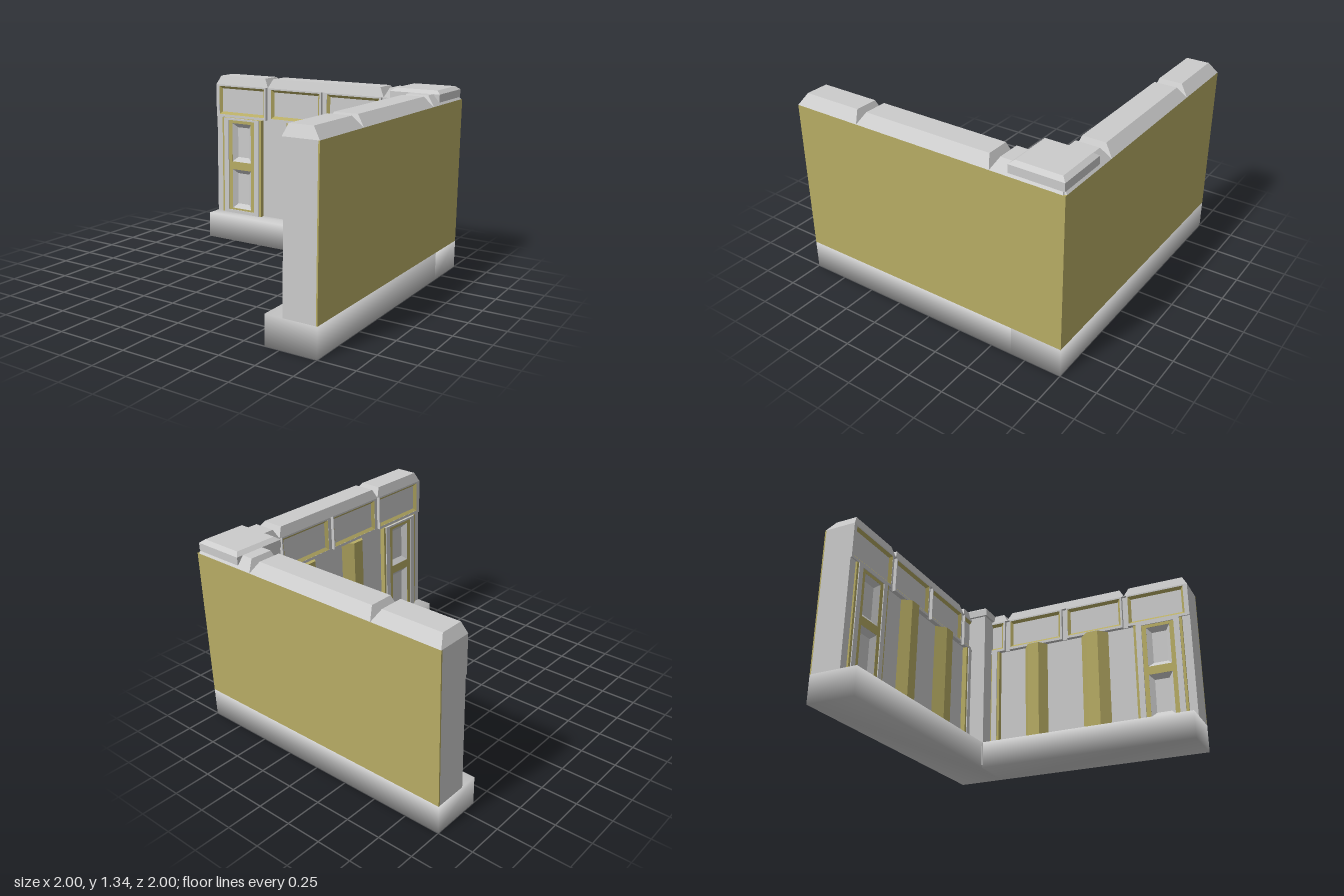
import * as THREE from 'three';
import { mergeVertices } from 'three/addons/utils/BufferGeometryUtils.js';

const grey = new THREE.MeshStandardMaterial({ color: 0xcccccc, side: THREE.DoubleSide });
const ochre = new THREE.MeshStandardMaterial({ color: 0xb7ac64, side: THREE.DoubleSide });

function add(parent, name, geometry, material = grey) {
  const mesh = new THREE.Mesh(geometry, material);
  mesh.name = name;
  parent.add(mesh);
  return mesh;
}

// Box given by its limits
function block(x0, x1, y0, y1, z0, z1) {
  return new THREE.BoxGeometry(x1 - x0, y1 - y0, z1 - z0)
    .translate((x0 + x1) / 2, (y0 + y1) / 2, (z0 + z1) / 2);
}

// Box whose top face is drawn in on each side
function taperedBlock(x0, x1, y0, y1, z0, z1, side, back, front) {
  const g = block(x0, x1, y0, y1, z0, z1).toNonIndexed();
  const p = g.attributes.position;
  for (let i = 0; i < p.count; i++) {
    if (p.getY(i) < y1 - 1e-5) continue;
    p.setX(i, p.getX(i) + (p.getX(i) < (x0 + x1) / 2 ? side : -side));
    p.setZ(i, p.getZ(i) + (p.getZ(i) < (z0 + z1) / 2 ? back : -front));
  }
  g.computeVertexNormals();
  return g;
}

// Box with normals shared round its corners, for a soft shading
function softBlock(...limits) {
  const g = block(...limits);
  g.deleteAttribute('normal');
  g.deleteAttribute('uv');
  const soft = mergeVertices(g);
  soft.computeVertexNormals();
  return soft;
}

const corners = ([x0, x1, y0, y1]) => [[x0, y0], [x1, y0], [x1, y1], [x0, y1]];
const inset = ([x0, x1, y0, y1], d) => [x0 + d, x1 - d, y0 + d, y1 - d];

// Upright plate with rectangular openings
function plate(rect, holes, z0, z1) {
  const vec = (r) => corners(r).map(([x, y]) => new THREE.Vector2(x, y));
  const shape = new THREE.Shape(vec(rect));
  for (const h of holes) shape.holes.push(new THREE.Path(vec(h).reverse()));
  return new THREE.ExtrudeGeometry(shape, { depth: z1 - z0, bevelEnabled: false }).translate(0, 0, z0);
}

// Sunk panel: four sloping sides and a floor
function sunkPanel(parent, name, rect, z, depth, slope, sideMaterial) {
  const floor = inset(rect, slope);
  const outer = corners(rect).map(([x, y]) => [x, y, z]);
  const inner = corners(floor).map(([x, y]) => [x, y, z - depth]);
  const pos = [];
  for (let i = 0; i < 4; i++) {
    const j = (i + 1) % 4;
    pos.push(...outer[i], ...outer[j], ...inner[j], ...outer[i], ...inner[j], ...inner[i]);
  }
  const g = new THREE.BufferGeometry();
  g.setAttribute('position', new THREE.Float32BufferAttribute(pos, 3));
  g.computeVertexNormals();
  add(parent, name + 'Sides', g, sideMaterial);
  add(parent, name + 'Floor', block(...floor, z - depth - 0.002, z - depth));
}

// Door: stepped frame with two sunk panels
function door(cx) {
  const group = new THREE.Group();
  group.name = 'door';
  const rect = [cx - 0.188, cx + 0.188, 0.2, 0.985];
  const panels = [[cx - 0.09, cx + 0.09, 0.24, 0.565], [cx - 0.09, cx + 0.09, 0.63, 0.945]];
  add(group, 'doorLeaf', plate(rect, panels, -0.8, -0.757), ochre);
  add(group, 'doorFrame', plate([cx - 0.168, cx + 0.168, 0.2, 0.985],
    [[cx - 0.125, cx + 0.125, 0.225, 0.97]], -0.765, -0.75));
  for (const p of panels) sunkPanel(group, 'doorPanel', p, -0.758, 0.03, 0.035, grey);
  return group;
}

// Pilaster with splayed sides
function pilaster(x0, x1) {
  const cx = (x0 + x1) / 2;
  const shape = new THREE.Shape([
    new THREE.Vector2(x0, 0.795), new THREE.Vector2(x1, 0.795),
    new THREE.Vector2(cx + 0.045, 0.728), new THREE.Vector2(cx - 0.045, 0.728),
  ]);
  return new THREE.ExtrudeGeometry(shape, { depth: 0.79, bevelEnabled: false })
    .rotateX(-Math.PI / 2).translate(0, 0.2, 0);
}

// One straight wall along x, its back at z = -1
function wall(name, lo, hi, baseStart) {
  const group = new THREE.Group();
  group.name = name;
  add(group, 'base', softBlock(baseStart, 1, 0, 0.2, -1, -0.645));
  add(group, 'core', block(lo, hi, 0.2, 1.25, -0.99, -0.795));
  add(group, 'backPanel', block(-1, 1, 0.2, 1.25, -1, -0.99), ochre);

  // End posts and doors
  add(group, 'endPost', block(lo, -0.94, 0.2, 1, -0.8, -0.77));
  add(group, 'endPost', block(0.94, hi, 0.2, 1, -0.8, -0.77));
  for (const s of [-1, 1]) group.add(door(s * 0.752));
  add(group, 'pilaster', pilaster(-0.35, -0.16), ochre);
  add(group, 'pilaster', pilaster(0.13, 0.35), ochre);

  // Header blocks with sunk panels
  for (let i = 0; i < 4; i++) {
    const x0 = i === 0 ? lo : -0.98 + i * 0.5;
    const x1 = i === 3 ? hi : -0.52 + i * 0.5;
    const opening = [-0.97 + i * 0.5, -0.535 + i * 0.5, 1.01, 1.238];
    add(group, 'headerBlock', plate([x0, x1, 0.99, 1.25], [opening], -0.8, -0.76));
    sunkPanel(group, 'headerPanel', opening, -0.761, 0.018, 0.02, ochre);
  }
  add(group, 'headerBack', block(lo, hi, 0.99, 1.25, -0.8, -0.785));

  // Coping stones, parted by V notches
  const joints = [lo, -0.5, 0.5, hi];
  for (let i = 0; i < 3; i++) {
    add(group, 'coping', taperedBlock(joints[i], joints[i + 1], 1.25, 1.32, -1, -0.76, 0.037, 0.06, 0.02));
  }
  return group;
}

export function createModel() {
  const model = new THREE.Group();
  model.name = 'cornerWall';

  model.add(wall('backWall', -1, 0.985, -1));
  const side = wall('sideWall', -0.985, 1, -0.645);
  side.rotation.y = -Math.PI / 2;
  model.add(side);

  // Corner pillar and its cap
  add(model, 'cornerPillar', block(0.637, 0.98, 0.02, 1.27, -0.98, -0.637));
  add(model, 'pillarCap', block(0.618, 0.988, 1.265, 1.32, -0.988, -0.618));
  add(model, 'pillarCapTop', taperedBlock(0.618, 0.988, 1.32, 1.343, -0.988, -0.618, 0.03, 0.03, 0.03));
  return model;
}
